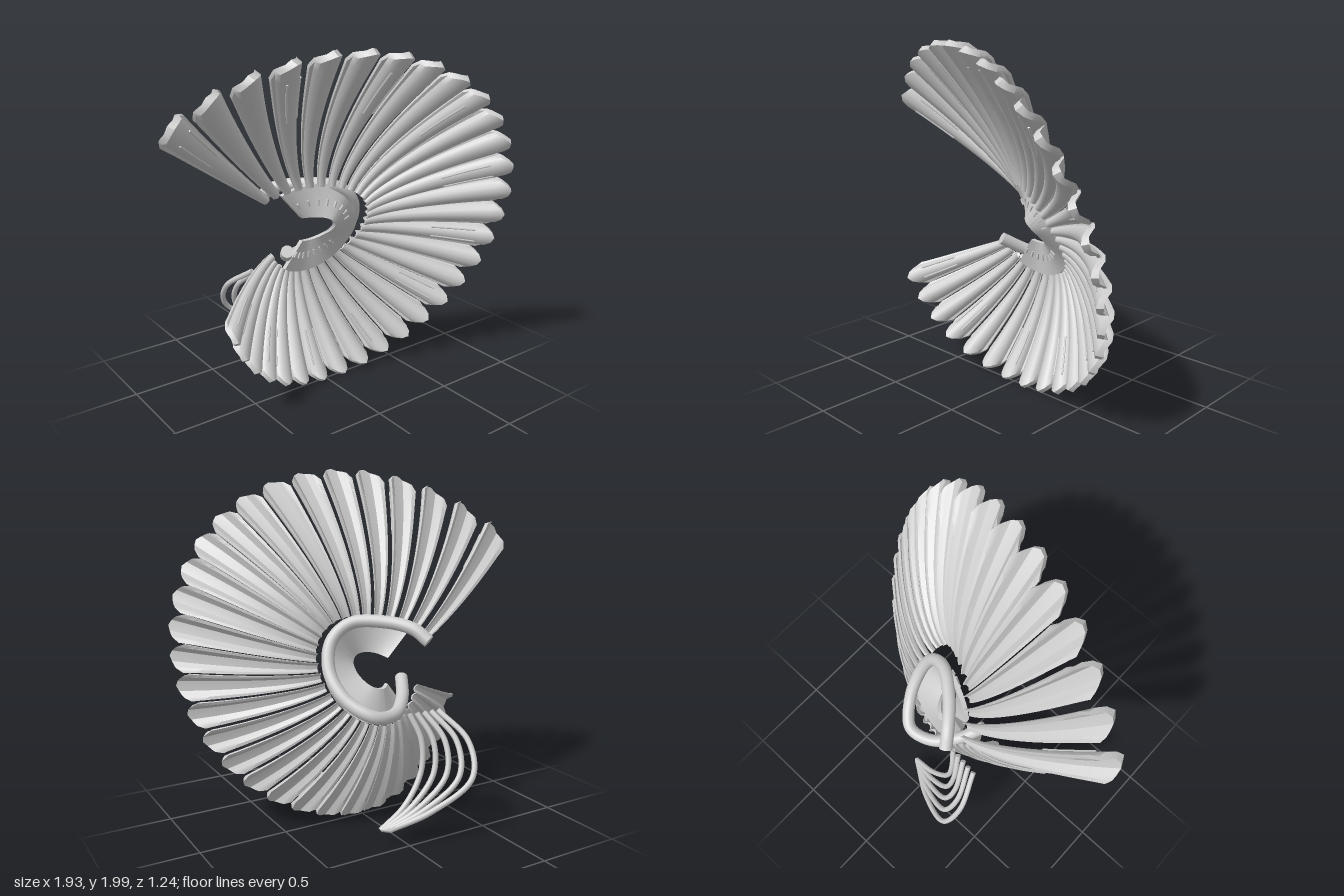
import * as THREE from 'three';
import { toCreasedNormals } from 'three/addons/utils/BufferGeometryUtils.js';

const V = (x, y, z) => new THREE.Vector3(x, y, z);
const COUNT = 31, CX = 0.015, CY = 0.91, INNER_R = 0.285;
const START = THREE.MathUtils.degToRad(142), SWEEP = THREE.MathUtils.degToRad(295);
const PITCH = SWEEP / (COUNT - 1);

// Wavy outer rim at even steps along the fan: depth and radius
const depths = [0.05, 0.32, 0.51, 0.61, 0.57, 0.425, 0.24, 0.1, 0.05, 0.13, 0.21];
const radii = [1.145, 1.07, 1.014, 0.968, 0.924, 0.893, 0.873, 0.856, 0.846, 0.821, 0.79];
const rim = new THREE.CatmullRomCurve3(depths.map((z, i) => V(i, radii[i], z)));
const rimAt = u => rim.getPoint(THREE.MathUtils.clamp(u, 0, 1));
const rootZ = u => -0.304 + 0.597 * rimAt(u).z;

const polar = (r, angle, z) => V(CX + r * Math.cos(angle), CY + r * Math.sin(angle), z);

// Closed solid through equal rings of points; caps pair point k with n-1-k
function loft(rings, crease) {
  const n = rings[0].length, last = (rings.length - 1) * n, index = [];
  for (let i = 0; i < rings.length - 1; i++) {
    for (let k = 0; k < n; k++) {
      const a = i * n + k, b = i * n + (k + 1) % n;
      index.push(a, b, b + n, a, b + n, a + n);
    }
  }
  for (let k = 0; k < n / 2 - 1; k++) {
    const a = k, b = k + 1, c = n - 2 - k, d = n - 1 - k;
    index.push(a, d, c, a, c, b, last + a, last + c, last + d, last + a, last + b, last + c);
  }
  const pts = rings.flat();
  let volume = 0;
  for (let i = 0; i < index.length; i += 3) {
    volume += pts[index[i]].dot(V(0, 0, 0).crossVectors(pts[index[i + 1]], pts[index[i + 2]]));
  }
  if (volume < 0) index.reverse();
  const geometry = new THREE.BufferGeometry().setFromPoints(pts);
  geometry.setIndex(index);
  return toCreasedNormals(geometry, crease);
}

// Point on pleat u at distance t from the root; a = across, b = toward the back
function pleatPoint(u, t, a, b) {
  const angle = START - u * SWEEP, tip = rimAt(u), z0 = rootZ(u);
  const length = tip.y - INNER_R, rise = tip.z - 0.055 - z0;
  const r = INNER_R + length * t, z = z0 + rise * Math.pow(t, 1.5);
  const slope = 1.5 * rise * Math.sqrt(t), len = Math.hypot(length, slope);
  const dr = length / len, dz = slope / len;
  const half = 0.485 * PITCH * r;
  const nose = 0.065 * (1 - 1.5 * a * a) * Math.pow(t, 10);
  const p = polar(r + dz * b * half + dr * nose, angle, z - dr * b * half + dz * nose);
  return p.add(V(-Math.sin(angle), Math.cos(angle), 0).multiplyScalar(a * half));
}

export function createModel() {
  const model = new THREE.Group();
  const material = new THREE.MeshStandardMaterial({ color: 0xcccccc });
  const add = (name, geometry, parent = model) => {
    const mesh = new THREE.Mesh(geometry, material);
    mesh.name = name;
    parent.add(mesh);
    return mesh;
  };
  const group = name => {
    const g = new THREE.Group();
    g.name = name;
    model.add(g);
    return g;
  };

  // Round tube with flat ends
  const tube = (name, points, radius, steps, sides, parent) => {
    const curve = new THREE.CatmullRomCurve3(points);
    add(name, new THREE.TubeGeometry(curve, steps, radius, sides), parent);
    for (const end of [0, 1]) {
      const cap = add(name + 'End', new THREE.CircleGeometry(radius, sides), parent);
      cap.position.copy(curve.getPoint(end));
      cap.quaternion.setFromUnitVectors(V(0, 0, 1), curve.getTangent(end).multiplyScalar(end ? 1 : -1));
    }
  };

  // Fan of pleats: smooth rounded front, side flanges, faceted channel on the back
  const section = [[-1.05, 0.52], [-0.86, 0.44], [-0.76, 0.1], [-0.45, -0.2], [0, -0.34],
    [0.45, -0.2], [0.76, 0.1], [0.86, 0.44], [1.05, 0.52],
    [1.05, 0.72], [0.8, 0.66], [0.66, 0.48], [0.4, 0.2], [0, 0.18],
    [-0.4, 0.2], [-0.66, 0.48], [-0.8, 0.66], [-1.05, 0.72]];
  const fan = group('pleatedFan');
  for (let i = 0; i < COUNT; i++) {
    const u = i / (COUNT - 1), rings = [];
    for (let s = 0; s <= 18; s++) rings.push(section.map(([a, b]) => pleatPoint(u, s / 18, a, b)));
    add('pleat', loft(rings, 0.65), fan);

    // Pair of thin ribs on every third pleat
    if (i % 3 === 0) {
      for (const side of [-0.5, 0.5]) {
        const path = [0.62, 0.72, 0.82, 0.92].map(t => pleatPoint(u, t, side, -0.18));
        tube('rib', path, 0.006, 8, 5, fan);
      }
    }
  }

  // Open ring at the hub, gently following the wave of the fan
  const hubZ = (r, angle) =>
    -0.09 + 0.55 * rootZ((START - angle) / SWEEP) + 0.02 * (INNER_R - r) / 0.195;
  const hubRings = [];
  for (let s = 0; s <= 48; s++) {
    const angle = THREE.MathUtils.degToRad(130 - 255 * s / 48);
    hubRings.push([[0.09, 0.012], [INNER_R, 0.012], [INNER_R, -0.018], [0.09, -0.018]]
      .map(([r, dz]) => polar(r, angle, hubZ(r, angle) + dz)));
  }
  add('hubRing', loft(hubRings, 0.6));

  // Radial tick marks on the hub
  const ticks = group('hubTicks');
  for (const [from, to] of [[20, 122], [-122, -38]]) {
    for (let k = 0; k < 8; k++) {
      const angle = THREE.MathUtils.degToRad(from + (to - from) * k / 7);
      const tick = add('tick', new THREE.BoxGeometry(0.036, 0.009, 0.016), ticks);
      tick.position.copy(polar(0.18, angle, hubZ(0.18, angle) + 0.014));
      tick.rotation.z = angle;
    }
  }

  // Thick coil winding behind the hub
  tube('coil', [V(-0.18, 1.09, -0.39), V(-0.13, 1.15, -0.32), V(-0.03, 1.18, -0.2), V(0.12, 1.17, -0.08),
    V(0.23, 1.08, -0.06), V(0.28, 0.93, -0.12), V(0.25, 0.79, -0.25), V(0.14, 0.71, -0.37),
    V(0, 0.7, -0.34), V(-0.12, 0.75, -0.23), V(-0.2, 0.83, -0.1)], 0.036, 90, 16);

  // Five thin strands fanning out and meeting again below
  const strands = group('strands');
  for (let k = 0; k < 5; k++) {
    const f = k / 4, mix = (a, b) => a + (b - a) * f;
    tube('strand', [
      V(mix(-0.31, -0.13), 0.67, mix(-0.31, -0.29)),
      V(mix(-0.38, -0.17), 0.53, mix(-0.5, -0.35)),
      V(mix(-0.33, -0.15), 0.36, mix(-0.605, -0.38)),
      V(mix(-0.11, -0.03), 0.19, mix(-0.54, -0.4)),
      V(mix(0.08, 0.12), 0.08, mix(-0.42, -0.395)),
    ], 0.016, 40, 10, strands);
  }
  return model;
}
